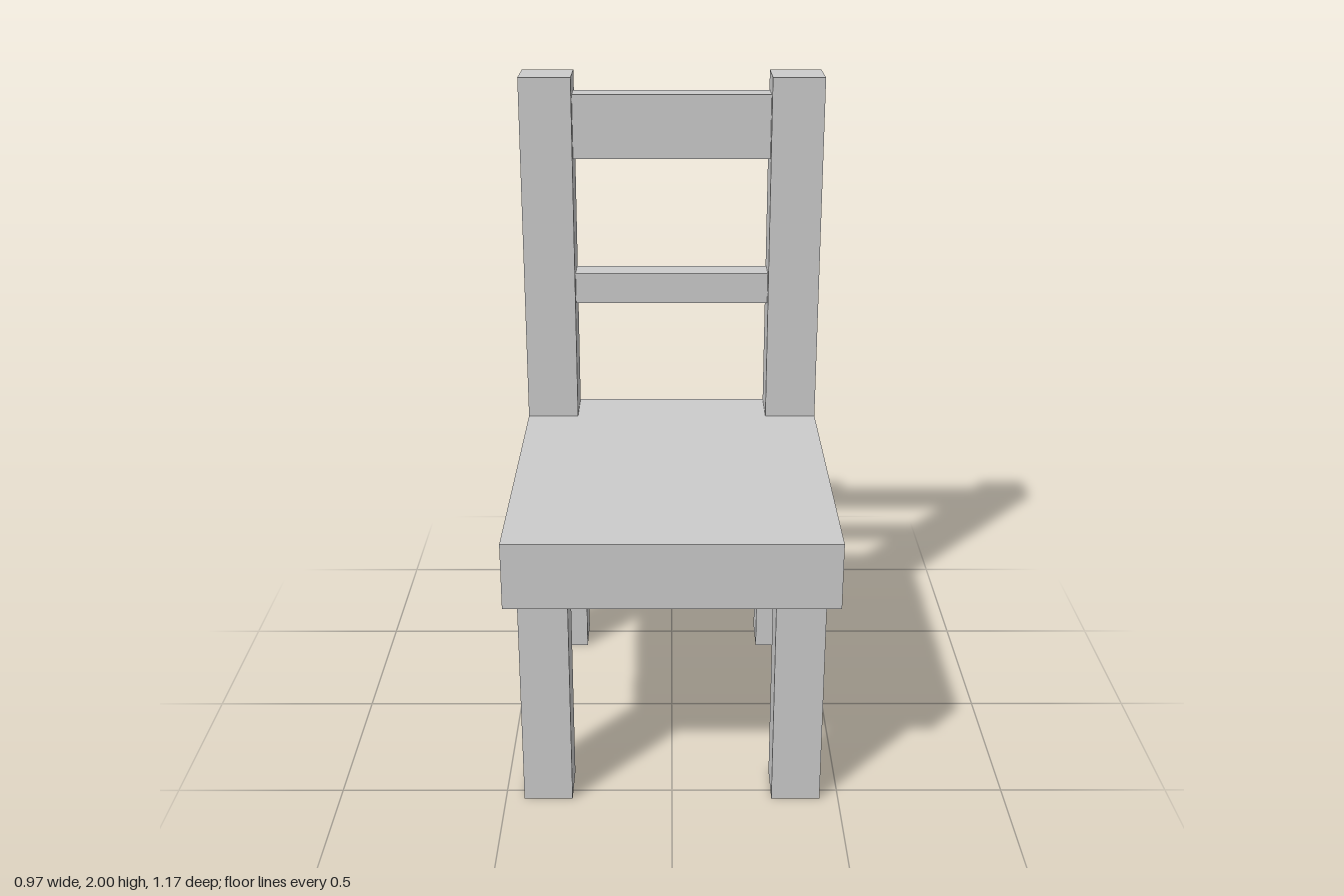
import * as THREE from 'three';

export function createModel() {
  const chair = new THREE.Group();
  chair.name = 'chair';
  const material = new THREE.MeshStandardMaterial({ color: 0xcccccc, flatShading: true });

  // Box given by its size, centre x and z, and bottom y
  function addBox(name, [w, h, d], x, bottom, z) {
    const mesh = new THREE.Mesh(new THREE.BoxGeometry(w, h, d), material);
    mesh.name = name;
    mesh.position.set(x, bottom + h / 2, z);
    chair.add(mesh);
  }

  const seatBottom = 0.665, seatTop = 0.867;
  const seatWidth = 0.966, seatDepth = 1.172;
  const postSize = 0.166, legSize = 0.145;
  const postX = (seatWidth - postSize) / 2;
  const postZ = -(seatDepth - postSize) / 2;

  // Seat slab
  addBox('seat', [seatWidth, seatTop - seatBottom, seatDepth], 0, seatBottom, 0);

  for (const [side, s] of [['left', 1], ['right', -1]]) {
    // Legs, set in from the seat edges
    addBox(side + 'FrontLeg', [legSize, seatBottom, legSize], s * 0.372, 0, 0.471);
    addBox(side + 'BackLeg', [legSize, seatBottom, legSize], s * 0.372, 0, -0.471);
    // Backrest posts, flush with the seat's rear corners
    addBox(side + 'BackPost', [postSize, 2 - seatTop, postSize], s * postX, seatTop, postZ);
  }

  // Rails between the posts
  const railLength = seatWidth - 2 * postSize;
  addBox('topRail', [railLength, 0.205, 0.09], 0, 1.735, -0.507);
  addBox('middleRail', [railLength, 0.102, 0.09], 0, 1.253, -0.507);

  return chair;
}
